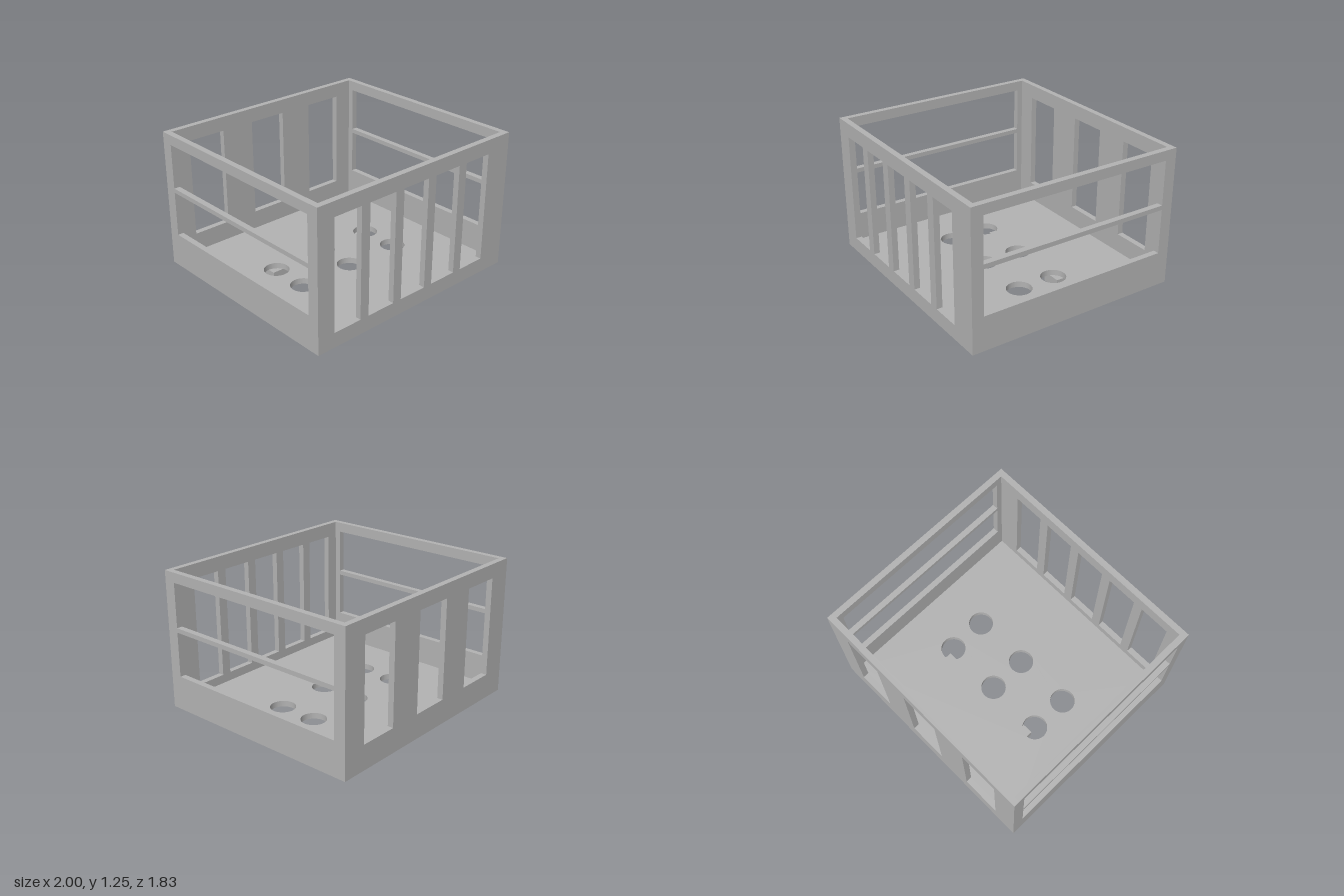
import * as THREE from 'three';

const W = 1, D = 0.917, BOTTOM = 0.083, TOP = 1.25, T = 0.05;

function rectPath(path, x0, x1, y0, y1) {
  path.moveTo(x0, y0);
  path.lineTo(x1, y0);
  path.lineTo(x1, y1);
  path.lineTo(x0, y1);
  path.closePath();
  return path;
}

// Flat panel with holes, T thick, starting at z = 0
function panel(x0, x1, y0, y1, holes) {
  const shape = rectPath(new THREE.Shape(), x0, x1, y0, y1);
  shape.holes.push(...holes);
  return new THREE.ExtrudeGeometry(shape, { depth: T, bevelEnabled: false, curveSegments: 32 });
}

const windowHole = (x0, x1, y0, y1) => rectPath(new THREE.Path(), x0, x1, y0, y1);

export function createModel() {
  const group = new THREE.Group();
  const grey = new THREE.MeshStandardMaterial({ color: 0xb2b2b2 });
  grey.name = 'grey';

  const add = (name, geometry) => {
    const mesh = new THREE.Mesh(geometry, grey);
    mesh.name = name;
    group.add(mesh);
    return mesh;
  };

  // Front wall: five tall slots
  const slots = [];
  for (let i = 0; i < 5; i++) {
    const x = -0.848 + i * 0.338;
    slots.push(windowHole(x, x + 0.257, 0.208, 1.13));
  }
  add('frontWall', panel(-W, W, BOTTOM, TOP, slots)).position.z = D - T;

  // Back wall: three wider windows
  const windows = [-0.627, 0, 0.627].map(x => windowHole(x - 0.167, x + 0.167, 0.293, 1.13));
  add('backWall', panel(-W, W, BOTTOM, TOP, windows)).position.z = -D;

  // Side walls: two long openings with a thin rail between them
  for (const [name, x] of [['leftWall', W - T], ['rightWall', -W]]) {
    const openings = [
      windowHole(-0.817, 0.817, 0.375, 0.755),
      windowHole(-0.817, 0.817, 0.792, 1.167),
    ];
    const side = panel(-(D - T), D - T, BOTTOM, TOP, openings);
    side.rotateY(Math.PI / 2);
    add(name, side).position.x = x;
  }

  // Floor with six round holes
  const drains = [];
  for (const x of [-0.5, 0, 0.5]) {
    for (const z of [-0.167, 0.167]) {
      drains.push(new THREE.Path().absarc(x, z, 0.105, 0, Math.PI * 2, true));
    }
  }
  const floor = panel(-(W - T), W - T, -(D - T), D - T, drains);
  floor.rotateX(-Math.PI / 2);
  add('floor', floor).position.y = BOTTOM;

  // Two block feet
  for (const [name, x] of [['leftFoot', 0.417], ['rightFoot', -0.417]]) {
    add(name, new THREE.BoxGeometry(0.167, BOTTOM, 0.167)).position.set(x, BOTTOM / 2, -0.291);
  }

  return group;
}
